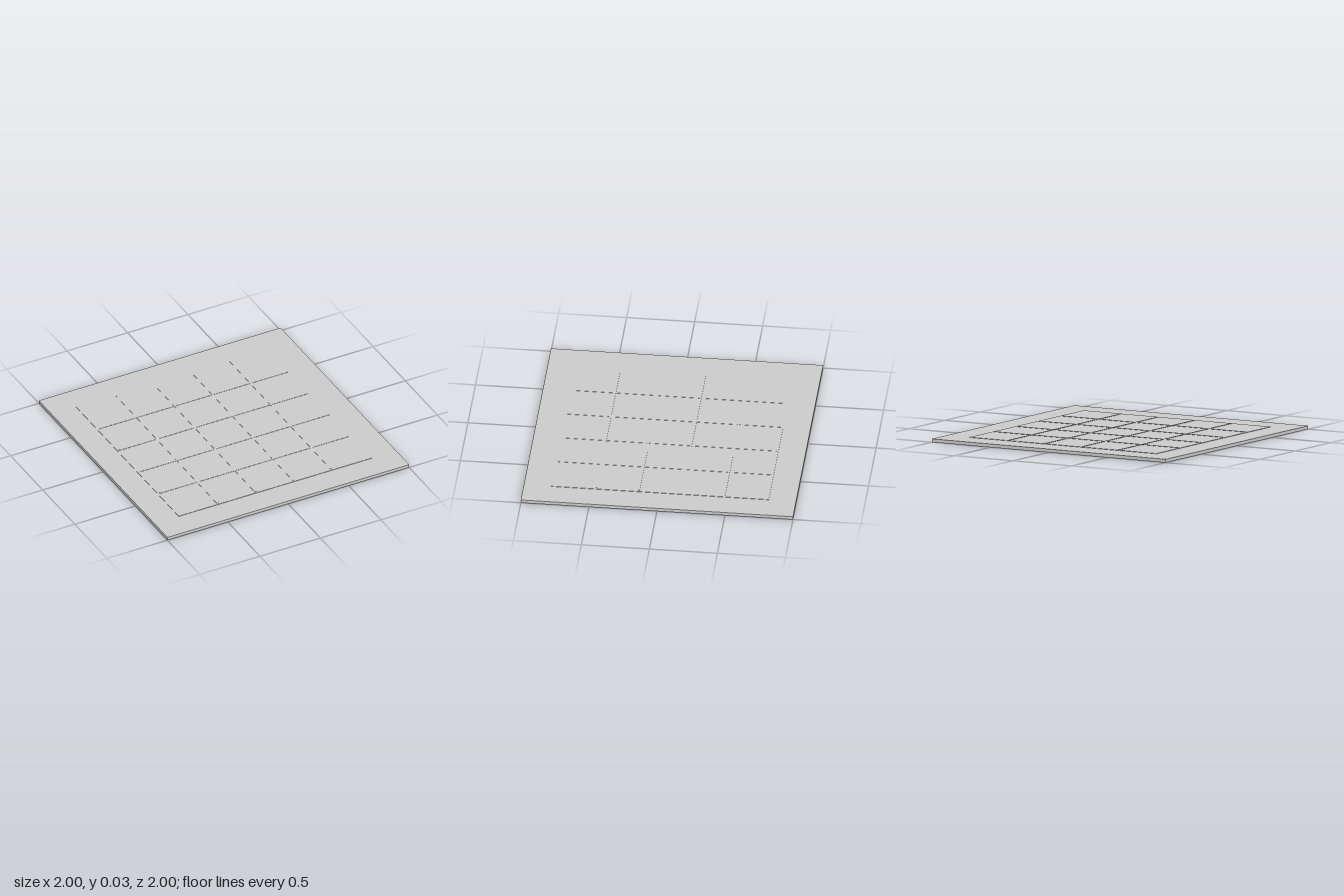
import * as THREE from 'three';

export function createModel() {
  const group = new THREE.Group();
  const material = new THREE.MeshStandardMaterial({ color: 0xcccccc });

  const slab = (name, w, d, bottom, top, x = 0, z = 0) => {
    const mesh = new THREE.Mesh(new THREE.BoxGeometry(w, top - bottom, d), material);
    mesh.position.set(x, (bottom + top) / 2, z);
    mesh.name = name;
    group.add(mesh);
  };

  // Square base plate and the slightly raised playing panel
  slab('basePlate', 2, 2, 0, 0.025);
  slab('raisedPanel', 1.6, 1.6, 0.02, 0.028);

  // Thin strips dividing the panel into five by five cells
  const length = 1.57, width = 0.014, pitch = length / 5;
  for (let i = 0; i < 4; i++) {
    const p = (i - 1.5) * pitch;
    slab('lengthwiseStrip' + (i + 1), width, length, 0.026, 0.03, p, 0);
    slab('crosswiseStrip' + (i + 1), length, width, 0.026, 0.03, 0, p);
  }
  return group;
}
